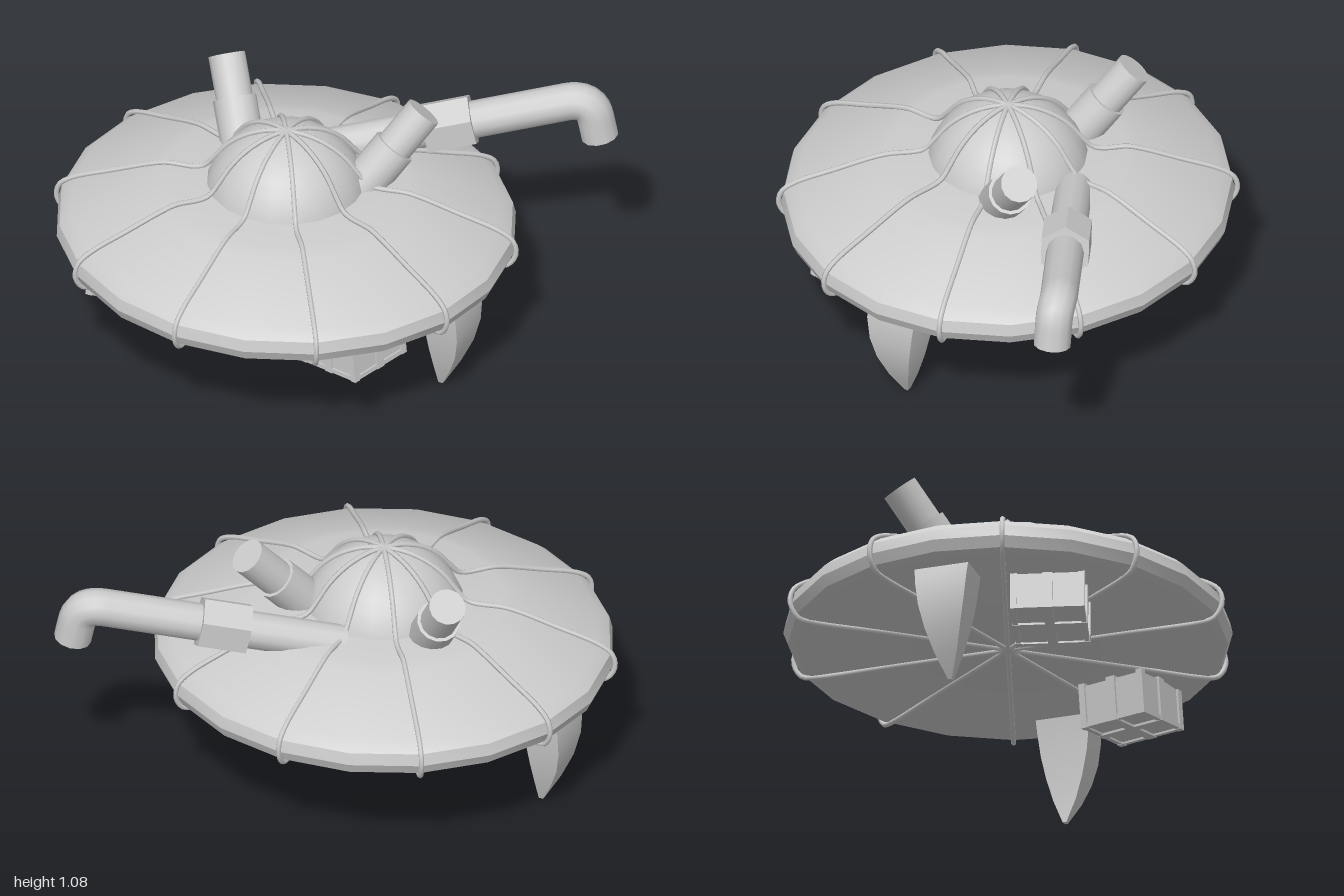
import * as THREE from 'three';
import { toCreasedNormals } from 'three/addons/utils/BufferGeometryUtils.js';

const grey = new THREE.MeshStandardMaterial({ color: 0xcccccc });
const greyOpen = new THREE.MeshStandardMaterial({ color: 0xcccccc, side: THREE.DoubleSide });
const V = (x, y, z) => new THREE.Vector3(x, y, z);
const CX = -0.05, CZ = 0.01, OVAL = 0.957;

function add(parent, name, geometry, material = grey) {
  const mesh = new THREE.Mesh(geometry, material);
  mesh.name = name;
  parent.add(mesh);
  return mesh;
}

// Cylinder running from point a to point b
function rod(parent, name, a, b, radius, sides) {
  let geo = new THREE.CylinderGeometry(radius, radius, a.distanceTo(b), sides);
  geo = toCreasedNormals(geo, sides < 8 ? 0.3 : 0.9);
  const mesh = add(parent, name, geo);
  mesh.position.copy(a).lerp(b, 0.5);
  mesh.quaternion.setFromUnitVectors(V(0, 1, 0), b.clone().sub(a).normalize());
  return mesh;
}

// Slightly oval saucer hull with a flat underside, and the dome on top
function buildHull(parent) {
  const profile = [[0, 0.46], [0.88, 0.46], [0.93, 0.485], [0.95, 0.53], [0.938, 0.58],
    [0.89, 0.62], [0.56, 0.74], [0.5, 0.755], [0, 0.755]].map(([r, y]) => new THREE.Vector2(r, y));
  const hull = add(parent, 'hull', toCreasedNormals(new THREE.LatheGeometry(profile, 20), 0.6));
  hull.scale.z = OVAL;
  const dome = add(parent, 'dome', new THREE.SphereGeometry(0.34, 20, 10, 0, Math.PI * 2, 0, Math.PI / 2));
  dome.position.y = 0.65;
}

// Thin ribs that wrap the underside, rim, shoulder and dome
function buildRibs(parent) {
  const profile = [[0, 0.457], [0.5, 0.457], [0.86, 0.455], [0.92, 0.465], [0.95, 0.5], [0.96, 0.54],
    [0.945, 0.59], [0.89, 0.63], [0.72, 0.692], [0.56, 0.748], [0.5, 0.762], [0.38, 0.763], [0.341, 0.775]];
  for (let i = 1; i <= 6; i++) {
    const a = 0.36 + i * (Math.PI / 2 - 0.36) / 6;
    profile.push([0.344 * Math.cos(a), 0.65 + 0.344 * Math.sin(a)]);
  }
  for (let i = 0; i < 10; i++) {
    const a = i * Math.PI / 5;
    const path = profile.map(([r, y]) => V(r * Math.sin(a), y, r * Math.cos(a) * (r < 0.4 ? 1 : OVAL)));
    add(parent, 'rib', new THREE.TubeGeometry(new THREE.CatmullRomCurve3(path, false, 'centripetal'), 90, 0.011, 6));
  }
  const hub = add(parent, 'domeHub', new THREE.CylinderGeometry(0.028, 0.034, 0.014, 10));
  hub.position.y = 0.992;
}

// Curved fang legs: a box whose rows follow an outer edge, inner edge and width
function buildLegs(parent) {
  const rows = [[0, 0.735, 0.715, 0.008], [0.1, 0.79, 0.717, 0.048], [0.2, 0.832, 0.712, 0.077],
    [0.3, 0.853, 0.705, 0.098], [0.4, 0.854, 0.696, 0.11], [0.48, 0.84, 0.685, 0.116]];
  for (const turn of [0, Math.PI]) {
    const geo = new THREE.BoxGeometry(1, 1, 1, 1, rows.length - 1, 1);
    const p = geo.attributes.position;
    for (let i = 0; i < p.count; i++) {
      const [y, outer, inner, half] = rows[Math.round((p.getY(i) + 0.5) * (rows.length - 1))];
      p.setXYZ(i, p.getX(i) > 0 ? outer : inner, y, Math.sign(p.getZ(i)) * half);
    }
    geo.computeVertexNormals();
    add(parent, 'fangLeg', geo).rotation.y = turn;
  }
}

// Strapped crates hanging under the hull, turned and tilted outward
function buildCrates(parent) {
  for (const side of [-1, 1]) {
    const crate = new THREE.Group();
    crate.name = 'crate';
    crate.position.set(side * 0.51, 0.37, 0.355);
    crate.rotation.set(0, -side * 0.24, side * 0.12);
    parent.add(crate);
    add(crate, 'crateBody', new THREE.BoxGeometry(0.285, 0.17, 0.285));
    add(crate, 'crateStrap', new THREE.BoxGeometry(0.04, 0.19, 0.305));
    add(crate, 'crateStrap', new THREE.BoxGeometry(0.305, 0.19, 0.04));
    // Corner posts and bottom rails
    for (const x of [-1, 1]) {
      for (const z of [-1, 1]) {
        add(crate, 'cratePost', new THREE.BoxGeometry(0.028, 0.19, 0.028)).position.set(x * 0.138, 0, z * 0.138);
      }
      add(crate, 'crateRail', new THREE.BoxGeometry(0.02, 0.02, 0.3)).position.set(x * 0.14, -0.083, 0);
      add(crate, 'crateRail', new THREE.BoxGeometry(0.3, 0.02, 0.02)).position.set(0, -0.083, x * 0.14);
    }
  }
}

// Short stub pipes leaning back from the dome, each with a wider collar
function buildStubs(parent) {
  const ends = [[V(-0.32, 0.71, -0.12), V(-0.505, 1.025, -0.3)], [V(0.21, 0.71, -0.12), V(0.39, 1.025, -0.345)]];
  for (const [a, b] of ends) {
    rod(parent, 'stubCollar', a, a.clone().lerp(b, 0.56), 0.09, 14);
    rod(parent, 'stubPipe', a, b, 0.076, 14);
  }
}

// Long exhaust pipe with a hexagonal coupling and a downturned open mouth
function buildExhaust(parent) {
  const start = V(-0.04, 0.715, -0.32), bend = V(0.79, 0.925, -0.815);
  const dir = bend.clone().sub(start).normalize();
  const centre = V(0.38, 0.822, -0.57);
  const path = new THREE.CurvePath();
  path.add(new THREE.LineCurve3(start, bend));
  path.add(new THREE.CubicBezierCurve3(bend, bend.clone().addScaledVector(dir, 0.07),
    V(0.89, 0.92, -0.858), V(0.9, 0.855, -0.862)));
  path.add(new THREE.LineCurve3(V(0.9, 0.855, -0.862), V(0.917, 0.77, -0.866)));
  add(parent, 'exhaustPipe', new THREE.TubeGeometry(path, 60, 0.077, 12), greyOpen);
  rod(parent, 'hexCoupling', centre.clone().addScaledVector(dir, -0.1),
    centre.clone().addScaledVector(dir, 0.1), 0.112, 6);
}

export function createModel() {
  const model = new THREE.Group();
  model.name = 'saucer';
  const body = new THREE.Group();
  body.name = 'saucerBody';
  body.position.set(CX, 0, CZ);
  model.add(body);
  buildHull(body);
  buildRibs(body);
  buildLegs(body);
  buildCrates(body);
  buildStubs(model);
  buildExhaust(model);
  return model;
}
